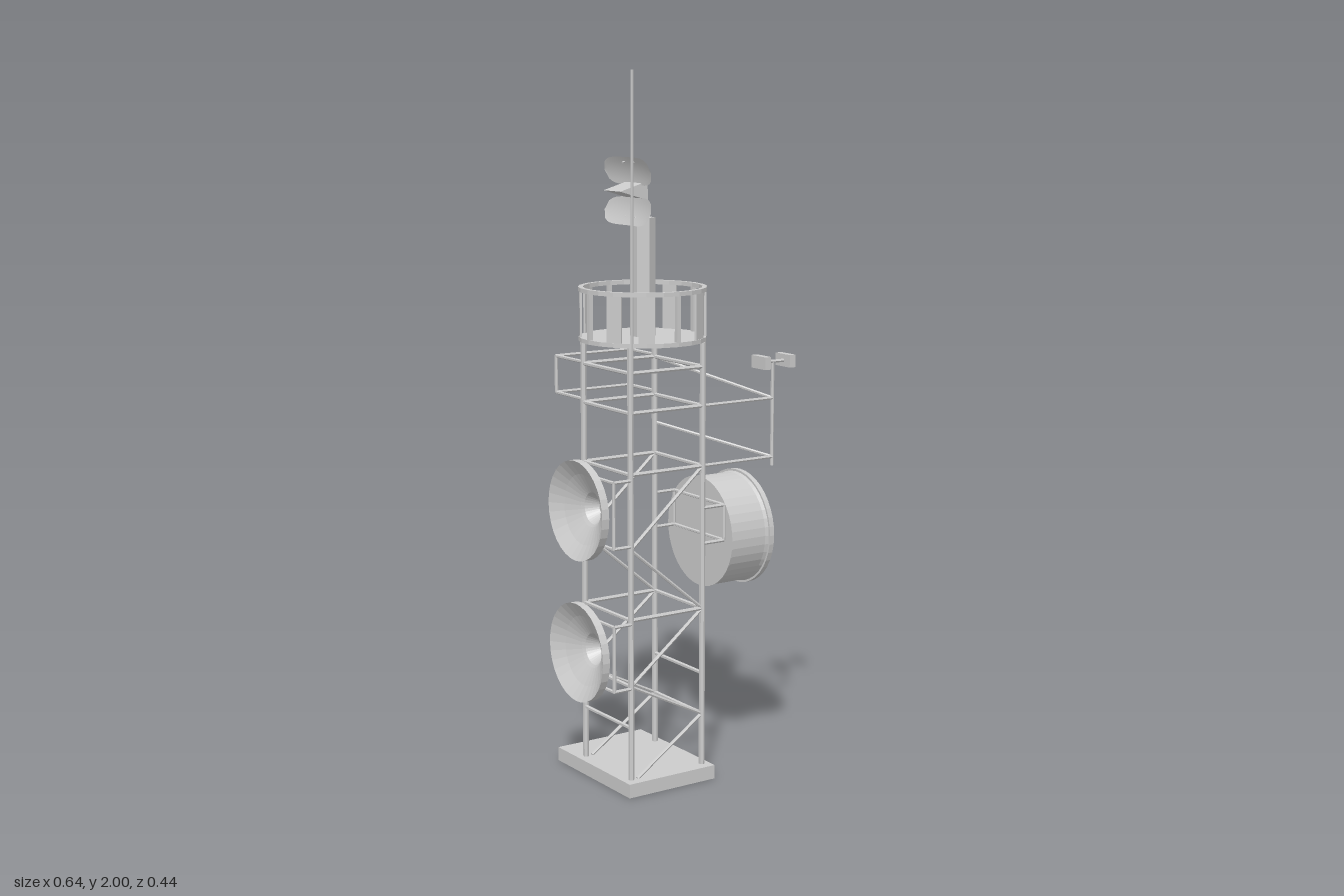
import * as THREE from 'three';

const grey = new THREE.MeshStandardMaterial({ color: 0xcccccc, flatShading: true });
const open = new THREE.MeshStandardMaterial({ color: 0xcccccc, side: THREE.DoubleSide });
const V = (a) => new THREE.Vector3(...a);

// Tower footprint
const X0 = -0.22, X1 = 0.02, Z0 = -0.08, Z1 = 0.16, CX = -0.1, CZ = 0.04;

function add(parent, name, geo, pos = [0, 0, 0], mat = grey) {
  const m = new THREE.Mesh(geo, mat);
  m.name = name;
  m.position.set(...pos);
  parent.add(m);
  return m;
}
const box = (parent, name, size, pos) => add(parent, name, new THREE.BoxGeometry(...size), pos);

// Round bar between two points
function rod(parent, name, a, b, r = 0.005) {
  const p = V(a), d = V(b).sub(p);
  const m = add(parent, name, new THREE.CylinderGeometry(r, r, d.length(), 6));
  m.position.copy(p).addScaledVector(d, 0.5);
  m.quaternion.setFromUnitVectors(new THREE.Vector3(0, 1, 0), d.normalize());
  return m;
}
function group(parent, name) {
  const g = new THREE.Group();
  g.name = name;
  parent.add(g);
  return g;
}
// Lathe whose axis runs along x; points are [radius, x]
function latheX(parent, name, pts, y, z, segs = 32) {
  const geo = new THREE.LatheGeometry(pts.map(([r, x]) => new THREE.Vector2(r, -x)), segs);
  geo.rotateZ(Math.PI / 2);
  const flat = geo.toNonIndexed();
  flat.computeVertexNormals();
  return add(parent, name, flat, [0, y, z], open);
}

function buildBase(g) {
  const base = group(g, 'base'), z = 0.001;
  box(base, 'baseSlab', [0.29, 0.02, 0.383], [-0.102, 0.03, z]);
  for (const s of [-1, 1]) {
    box(base, 'baseRimSide', [0.02, 0.02, 0.383], [-0.102 + s * 0.135, 0.01, z]);
    box(base, 'baseRimEnd', [0.25, 0.02, 0.02], [-0.102, 0.01, z + s * 0.1815]);
  }
}

function buildTower(g) {
  const t = group(g, 'tower');
  for (const x of [X0, X1]) for (const z of [Z0, Z1])
    rod(t, 'leg', [x, 0.04, z], [x, 1.26, z], 0.0085);
  const zig = [[X1, 0.91], [X0, 0.7], [X1, 0.5], [X0, 0.31], [X1, 0.19], [X0 + 0.02, 0.04]];
  for (const z of [Z0, Z1]) {
    for (const y of [0.5, 0.91, 1.08, 1.19]) rod(t, 'crossBar', [X0, y, z], [X1, y, z], 0.006);
    for (let i = 0; i < 5; i++)
      rod(t, 'diagonalBrace', [...zig[i], z], [...zig[i + 1], z]);
  }
  for (const x of [X0, X1])
    for (const y of [0.19, 0.31, 0.5, 0.91, 1.08, 1.19])
      rod(t, 'sideBar', [x, y, Z0], [x, y, Z1], 0.006);
}

// Rectangular stand-off frame on a side of the tower
function standOff(g, x, xo, y0, y1) {
  for (const z of [Z0 - 0.005, Z1 + 0.003]) {
    for (const y of [y0, y1]) rod(g, 'standOffArm', [x, y, z], [xo, y, z]);
    rod(g, 'standOffPost', [xo, y0, z], [xo, y1, z]);
  }
  for (const y of [y0, y1]) rod(g, 'standOffRail', [xo, y, Z0 - 0.005], [xo, y, Z1 + 0.003]);
}

function buildDishes(g) {
  for (const y of [0.8, 0.395]) {
    const d = group(g, 'dish');
    latheX(d, 'dishShell', [[0.135, -0.318], [0.141, -0.322], [0.141, -0.299], [0.117, -0.296],
      [0.085, -0.28], [0.055, -0.268], [0.045, -0.262], [0.022, -0.228], [0, -0.228]], y, 0.034);
    latheX(d, 'dishBowl', [[0.135, -0.318], [0.1, -0.295], [0.052, -0.27]], y, 0.034);
    standOff(d, X0, -0.277, y - 0.09, y + 0.095);
  }
  const drum = group(g, 'drumAntenna');
  latheX(drum, 'drumShell', [[0, 0.097], [0.161, 0.097], [0.161, 0.101], [0.158, 0.102], [0.158, 0.215],
    [0.161, 0.225], [0.167, 0.225], [0.167, 0.24], [0, 0.24]], 0.69, 0.037, 40);
  standOff(drum, X1, 0.092, 0.688, 0.79);
}

function buildSideArm(g) {
  const a = group(g, 'sideArm'), x = 0.262;
  for (const [y, top] of [[1.08, 1.19], [0.91, 1]]) {
    rod(a, 'armBar', [X1, y, Z1], [x, y, Z1]);
    rod(a, 'armBrace', [X1, top, Z0], [x, y, Z1]);
  }
  rod(a, 'armPost', [x, 0.885, Z1], [x, 1.185, Z1]);
  rod(a, 'armCrossBar', [0.222, 1.185, Z1], [0.31, 1.185, Z1]);
  for (const bx of [0.224, 0.31]) box(a, 'sensorBox', [0.02, 0.036, 0.066], [bx, 1.185, 0.157]);
}

function buildBackRail(g) {
  const r = group(g, 'backRail'), z = -0.219;
  for (const y of [1.09, 1.195]) {
    rod(r, 'railBar', [-0.225, y, z], [0.023, y, z]);
    for (const x of [-0.225, 0.023]) rod(r, 'railArm', [x, y, Z0], [x, y, z]);
  }
  for (const x of [-0.225, 0.023]) rod(r, 'railPost', [x, 1.09, z], [x, 1.195, z]);
}

function buildPlatform(g) {
  const p = group(g, 'platform');
  p.position.set(CX, 1.26, CZ);
  add(p, 'platformFloor', new THREE.CylinderGeometry(0.178, 0.178, 0.012, 24), [0, 0.006, 0]);
  const ring = new THREE.LatheGeometry([[0.166, 0], [0.179, 0], [0.179, 0.012], [0.166, 0.012], [0.166, 0]]
    .map((q) => new THREE.Vector2(...q)), 24).toNonIndexed();
  ring.computeVertexNormals();
  add(p, 'handRail', ring, [0, 0.138, 0], open);
  for (let k = 0; k < 12; k++) {
    const a = k * Math.PI / 6, post = k % 3 === 0;
    const m = box(p, post ? 'railingPost' : 'railingPanel', [post ? 0.012 : 0.044, 0.13, post ? 0.012 : 0.006],
      [0.172 * Math.sin(a), 0.075, 0.172 * Math.cos(a)]);
    m.rotation.y = a;
  }
}

// Curved reflector strip with rounded ends, bowed in plan and in profile
function reflector(parent, yc, dir) {
  const geo = new THREE.PlaneGeometry(2, 2, 20, 6), pos = geo.attributes.position;
  for (let i = 0; i < pos.count; i++) {
    const u = pos.getX(i), v = pos.getY(i);
    const h = 0.038 * Math.pow(Math.max(0, 1 - Math.pow(Math.abs(u), 5)), 0.5);
    const t = v * h;
    const away = (t * dir + 0.038) / 0.076;
    pos.setXYZ(i, -0.128 - 0.016 * u * u - 0.022 * away * away, yc + t, CZ + u * 0.116);
  }
  geo.computeVertexNormals();
  add(parent, 'reflector', geo, [0, 0, 0], open);
}

function buildRadar(g) {
  const r = group(g, 'radar');
  add(r, 'mast', new THREE.CylinderGeometry(0.035, 0.035, 0.34, 6), [CX, 1.43, CZ]);
  box(r, 'neck', [0.02, 0.11, 0.052], [-0.11, 1.65, CZ]);
  reflector(r, 1.727, 1);
  reflector(r, 1.618, -1);
  // Wedge-shaped feed horn
  const s = new THREE.Shape([[-0.2, 1.675], [-0.12, 1.652], [-0.12, 1.698]].map((q) => new THREE.Vector2(...q)));
  add(r, 'feedHorn', new THREE.ExtrudeGeometry(s, { depth: 0.084, bevelEnabled: false }), [0, 0, CZ - 0.042]);
  for (const z of [CZ - 0.024, CZ + 0.024]) {
    rod(r, 'reflectorStrut', [-0.105, 1.7, z], [-0.123, 1.755, z], 0.003);
    rod(r, 'reflectorStrut', [-0.123, 1.755, z], [-0.15, 1.75, z], 0.003);
    rod(r, 'reflectorStrut', [-0.11, 1.625, z], [-0.14, 1.6, z], 0.003);
  }
}

export function createModel() {
  const g = new THREE.Group();
  g.name = 'antennaTower';
  buildBase(g);
  buildTower(g);
  buildDishes(g);
  buildSideArm(g);
  buildBackRail(g);
  buildPlatform(g);
  buildRadar(g);
  // Tall whip aerial beside the platform
  rod(g, 'whipAerial', [-0.22, 1.08, 0.168], [-0.217, 2, 0.168], 0.0035);
  return g;
}
